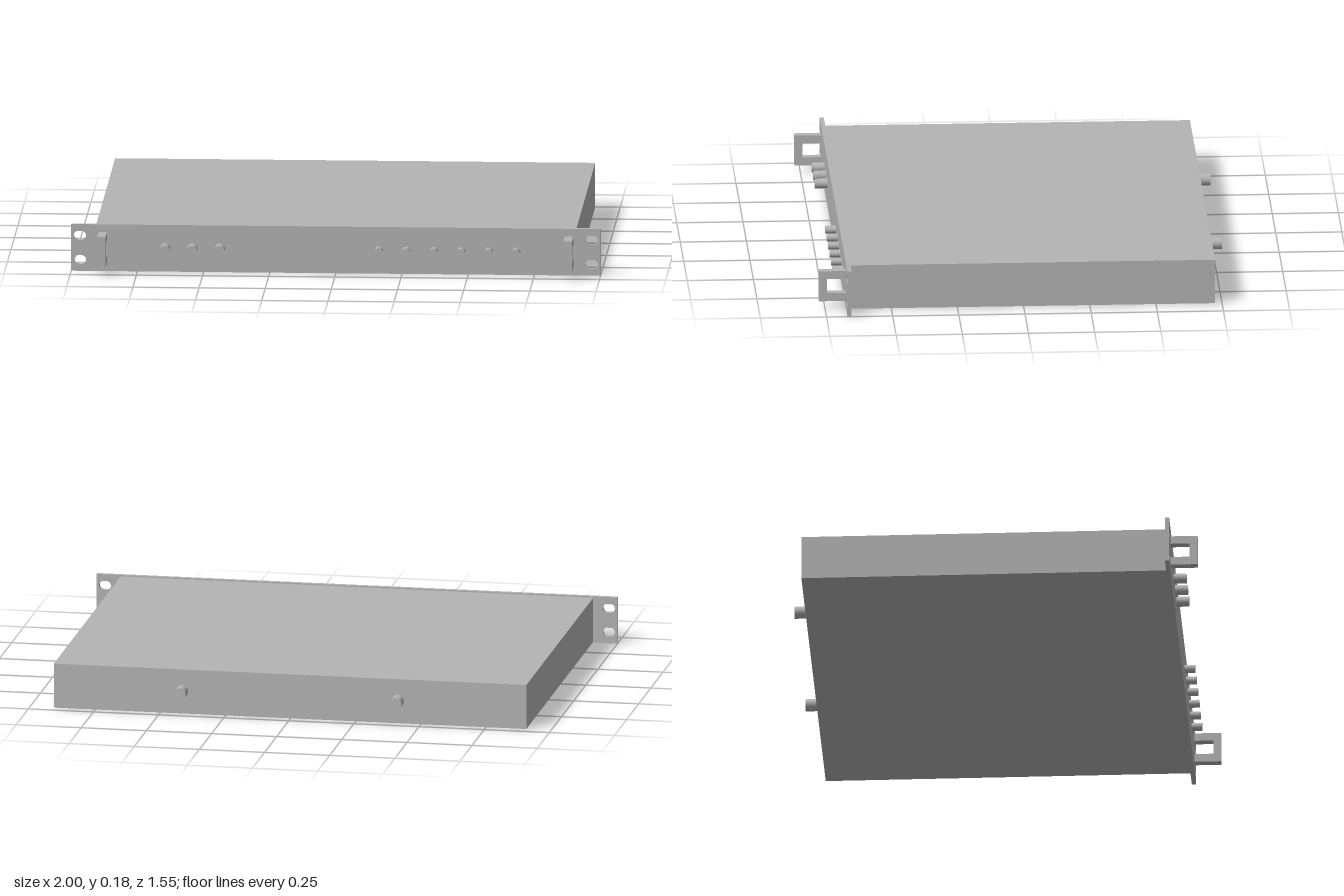
import * as THREE from 'three';

export function createModel() {
  const group = new THREE.Group();
  const grey = new THREE.MeshStandardMaterial({ color: 0xb4b4b4 });
  grey.name = 'brushed grey';

  const add = (name, geometry, x = 0, y = 0, z = 0) => {
    const mesh = new THREE.Mesh(geometry, grey);
    mesh.name = name;
    mesh.position.set(x, y, z);
    group.add(mesh);
    return mesh;
  };
  const rect = (T, x0, y0, x1, y1) => {
    const s = new T();
    s.moveTo(x0, y0);
    s.lineTo(x1, y0);
    s.lineTo(x1, y1);
    s.lineTo(x0, y1);
    s.closePath();
    return s;
  };
  const MID = 0.09, PANEL_BACK = 0.655, PANEL_FRONT = 0.671;

  // Chassis box
  add('chassis', new THREE.BoxGeometry(1.814, 0.171, 1.38), 0, 0.0885, -0.0335);

  // Front panel with rounded mounting slots in both ears
  const panel = rect(THREE.Shape, -1, 0, 1, 0.179);
  for (const x of [-0.967, 0.967]) {
    for (const y of [0.043, 0.136]) {
      const r = 0.017, half = 0.006;
      const slot = new THREE.Path();
      slot.absarc(x + half, y, r, -Math.PI / 2, Math.PI / 2, false);
      slot.absarc(x - half, y, r, Math.PI / 2, Math.PI * 1.5, false);
      slot.closePath();
      panel.holes.push(slot);
    }
  }
  add('frontPanel', new THREE.ExtrudeGeometry(panel, {
    depth: PANEL_FRONT - PANEL_BACK, bevelEnabled: false, curveSegments: 16,
  }), 0, 0, PANEL_BACK);

  // Square bracket handles, drawn in side profile and extruded across x
  const profile = new THREE.Shape();
  [[0.67, 0.031], [0.773, 0.031], [0.773, 0.149], [0.67, 0.149],
    [0.67, 0.118], [0.743, 0.118], [0.743, 0.063], [0.67, 0.063]]
    .forEach(([z, y], i) => (i ? profile.lineTo(z, y) : profile.moveTo(z, y)));
  profile.closePath();
  const handle = new THREE.ExtrudeGeometry(profile, { depth: 0.032, bevelEnabled: false });
  handle.translate(0, 0, -0.016);
  handle.rotateY(-Math.PI / 2);
  add('rightHandle', handle, -0.881);
  add('leftHandle', handle, 0.881);

  // Round controls along z
  const peg = (name, x, radius, z0, z1) => {
    const geometry = new THREE.CylinderGeometry(radius, radius, z1 - z0, 32);
    geometry.rotateX(Math.PI / 2);
    add(name, geometry, x, MID, (z0 + z1) / 2);
  };
  for (let i = 0; i < 3; i++) peg('knob', -0.645 + i * 0.1035, 0.019, 0.665, 0.719);
  for (let i = 0; i < 6; i++) peg('button', 0.163 + i * 0.1038, 0.015, 0.665, 0.711);

  // Rear connectors
  for (const x of [-0.414, 0.414]) peg('rearConnector', x, 0.023, -0.774, -0.72);

  return group;
}
